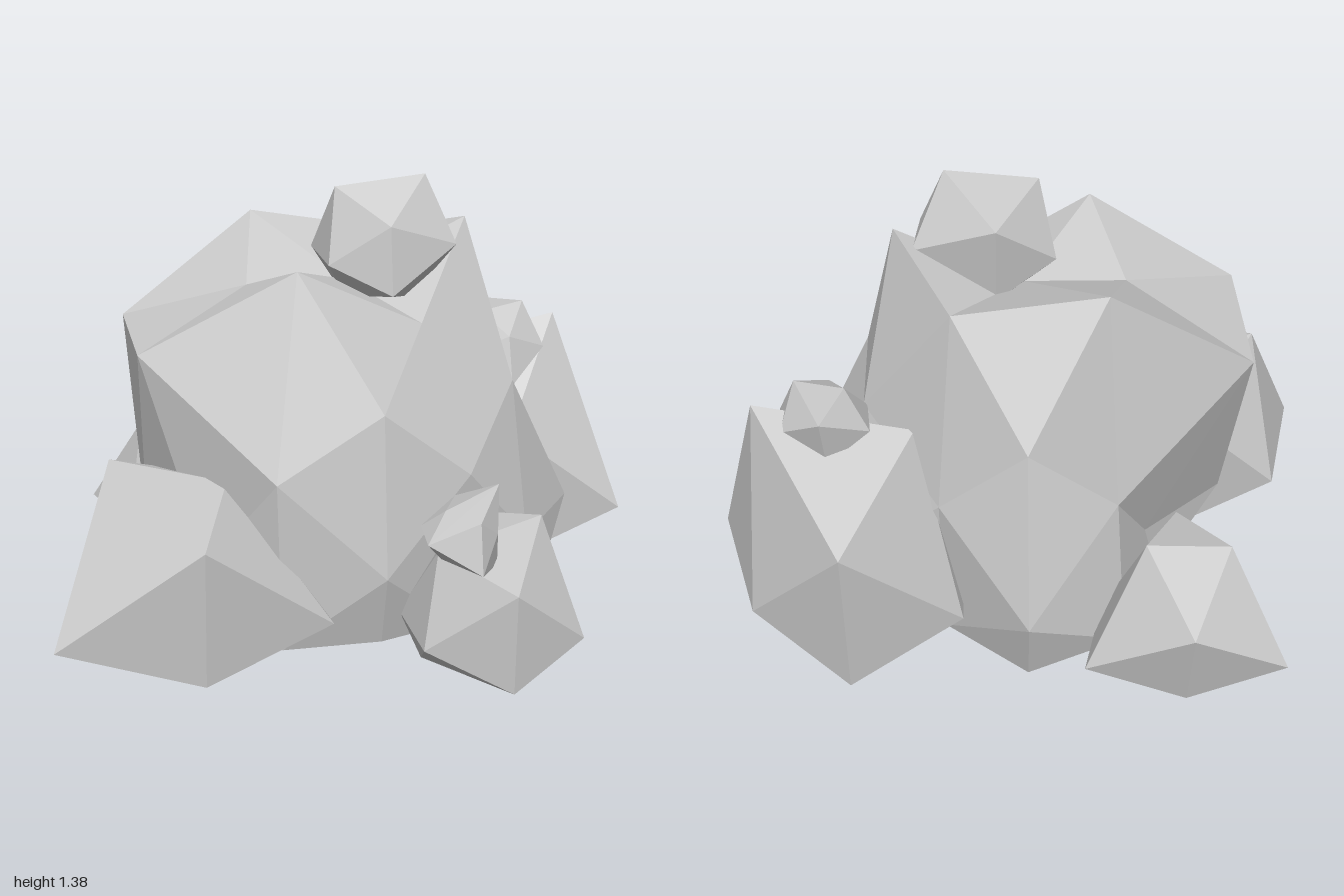
import * as THREE from 'three';
import { ConvexGeometry } from 'three/addons/geometries/ConvexGeometry.js';

// Drop the triangles lying on the ground, so every rock is an open shell
function openBase(geometry) {
  const p = geometry.attributes.position;
  const kept = [];
  for (let i = 0; i < p.count; i += 3) {
    if (Math.max(p.getY(i), p.getY(i + 1), p.getY(i + 2)) < 0.001) continue;
    for (let j = i; j < i + 3; j++) kept.push(p.getX(j), p.getY(j), p.getZ(j));
  }
  const shell = new THREE.BufferGeometry();
  shell.setAttribute('position', new THREE.Float32BufferAttribute(kept, 3));
  shell.computeVertexNormals();
  return shell;
}

// Radius of the big boulder in each direction. Directions are grouped by size of
// their components; the four values are for (+x +z), (-x +z), (+x -z), (-x -z).
const UPPER_RADII = {
  '0,10,0': [0.52, 0.52, 0.52, 0.52],
  '5,9,0': [0.755, 0.61, 0.755, 0.61],
  '3,8,5': [0.575, 0.735, 0.715, 0.775],
  '0,5,9': [0.625, 0.625, 0.65, 0.65],
  '8,5,3': [0.63, 0.86, 0.62, 0.855],
  '5,3,8': [0.58, 0.65, 0.54, 0.56],
  '0,0,10': [0.58, 0.58, 0.72, 0.72],
  '10,0,0': [0.78, 0.66, 0.78, 0.66],
  '9,0,5': [0.62, 0.6, 0.6, 0.46],
};
const LOWER_RADII = {
  '0,10,0': [0.6, 0.6, 0.6, 0.6],
  '5,9,0': [0.6, 0.6, 0.6, 0.6],
  '3,8,5': [0.6, 0.6, 0.6, 0.6],
  '0,5,9': [0.6, 0.6, 0.76, 0.76],
  '8,5,3': [0.75, 0.6, 0.6, 0.55],
  '5,3,8': [0.53, 0.62, 0.52, 0.62],
};

// Subdivided icosahedron pushed out to those radii, stretched and cut at the ground
function boulderGeometry() {
  const geometry = new THREE.IcosahedronGeometry(1, 1);
  const p = geometry.attributes.position;
  for (let i = 0; i < p.count; i++) {
    const [x, y, z] = [p.getX(i), p.getY(i), p.getZ(i)];
    const key = [x, y, z].map(c => Math.round(Math.abs(c) * 10)).join();
    const quadrant = (x < -0.01 ? 1 : 0) + (z < -0.01 ? 2 : 0);
    const r = (y < -0.01 ? LOWER_RADII : UPPER_RADII)[key][quadrant];
    p.setXYZ(i, r * x, Math.max(0, 0.235 + 1.54 * r * y), r * z - 0.04);
  }
  return openBase(geometry);
}

export function createModel() {
  const group = new THREE.Group();
  group.name = 'rockPile';
  const stone = new THREE.MeshStandardMaterial({ color: 0xcacaca, flatShading: true, side: THREE.DoubleSide });
  stone.name = 'grey stone';

  function add(name, geometry) {
    const mesh = new THREE.Mesh(geometry, stone);
    mesh.name = name;
    group.add(mesh);
  }

  // One faceted rock: the hull of its twelve corners
  function rock(name, corners) {
    add(name, openBase(new ConvexGeometry(corners.map(c => new THREE.Vector3(...c)))));
  }

  add('bigBoulder', boulderGeometry());

  // Stone balanced on top
  rock('topStone', [
    [-0.05, 1.35, 0.04], [0.24, 1.38, 0.04], [0.085, 1.25, 0.22], [0.085, 1.3, -0.22],
    [0.32, 1.17, 0.13], [0.34, 1.18, -0.1], [-0.09, 1.12, 0.13], [-0.1, 1.14, -0.09],
    [0.085, 1.04, 0.25], [0.085, 1.05, -0.18], [0.2, 0.99, 0.04], [-0.02, 1.0, 0.04],
  ]);

  // Four rocks around the foot
  rock('frontRock', [
    [0.46, 0.43, 0.6], [0.14, 0.34, 0.6], [0.29, 0.31, 0.9], [0.29, 0.36, 0.34],
    [0.55, 0.09, 0.76], [0.06, 0.09, 0.74], [0.595, 0.09, 0.42], [0.06, 0.09, 0.45],
    [0.29, 0, 0.89], [0.54, 0, 0.6], [0.09, 0, 0.6], [0.29, 0, 0.39],
  ]);
  rock('rightRock', [
    [-0.8, 0.61, 0.32], [-0.45, 0.51, 0.32], [-0.57, 0.44, 0.7], [-0.57, 0.45, 0],
    [-1, 0.12, 0.58], [-0.17, 0.12, 0.56], [-0.88, 0.12, 0.12], [-0.2, 0.12, 0.1],
    [-0.77, 0, 0.32], [-0.35, 0, 0.32], [-0.57, 0, 0.65], [-0.57, 0, 0.06],
  ]);
  rock('leftRock', [
    [0.83, 0.8, -0.36], [0.34, 0.7, -0.36], [0.57, 0.48, -0.02], [0.55, 0.55, -0.8],
    [1, 0.15, -0.08], [0.86, 0.15, -0.55], [0.2, 0.15, -0.08], [0.2, 0.15, -0.6],
    [0.8, 0, -0.36], [0.36, 0, -0.36], [0.58, 0, -0.05], [0.55, 0, -0.73],
  ]);
  rock('backRock', [
    [-0.62, 0.42, -0.6], [-0.36, 0.43, -0.6], [-0.48, 0.31, -0.9], [-0.48, 0.36, -0.35],
    [-0.79, 0.09, -0.78], [-0.17, 0.09, -0.77], [-0.69, 0.09, -0.45], [-0.24, 0.09, -0.48],
    [-0.64, 0, -0.6], [-0.32, 0, -0.6], [-0.48, 0, -0.81], [-0.48, 0, -0.42],
  ]);

  // Small stones resting on the foot rocks
  rock('frontPebble', [
    [0.29, 0.58, 0.7], [0.13, 0.51, 0.7], [0.2, 0.51, 0.82], [0.2, 0.5, 0.56],
    [0.27, 0.45, 0.76], [0.31, 0.45, 0.62], [0.05, 0.45, 0.8], [0.07, 0.45, 0.65],
    [0.2, 0.36, 0.85], [0.2, 0.39, 0.57], [0.29, 0.33, 0.7], [0.12, 0.36, 0.7],
  ]);
  rock('leftPebble', [
    [0.7, 0.86, -0.32], [0.55, 0.83, -0.32], [0.61, 0.77, -0.18], [0.61, 0.83, -0.52],
    [0.76, 0.71, -0.25], [0.74, 0.74, -0.42], [0.49, 0.71, -0.23], [0.47, 0.74, -0.42],
    [0.61, 0.61, -0.13], [0.6, 0.66, -0.48], [0.7, 0.63, -0.32], [0.53, 0.63, -0.32],
  ]);

  return group;
}
